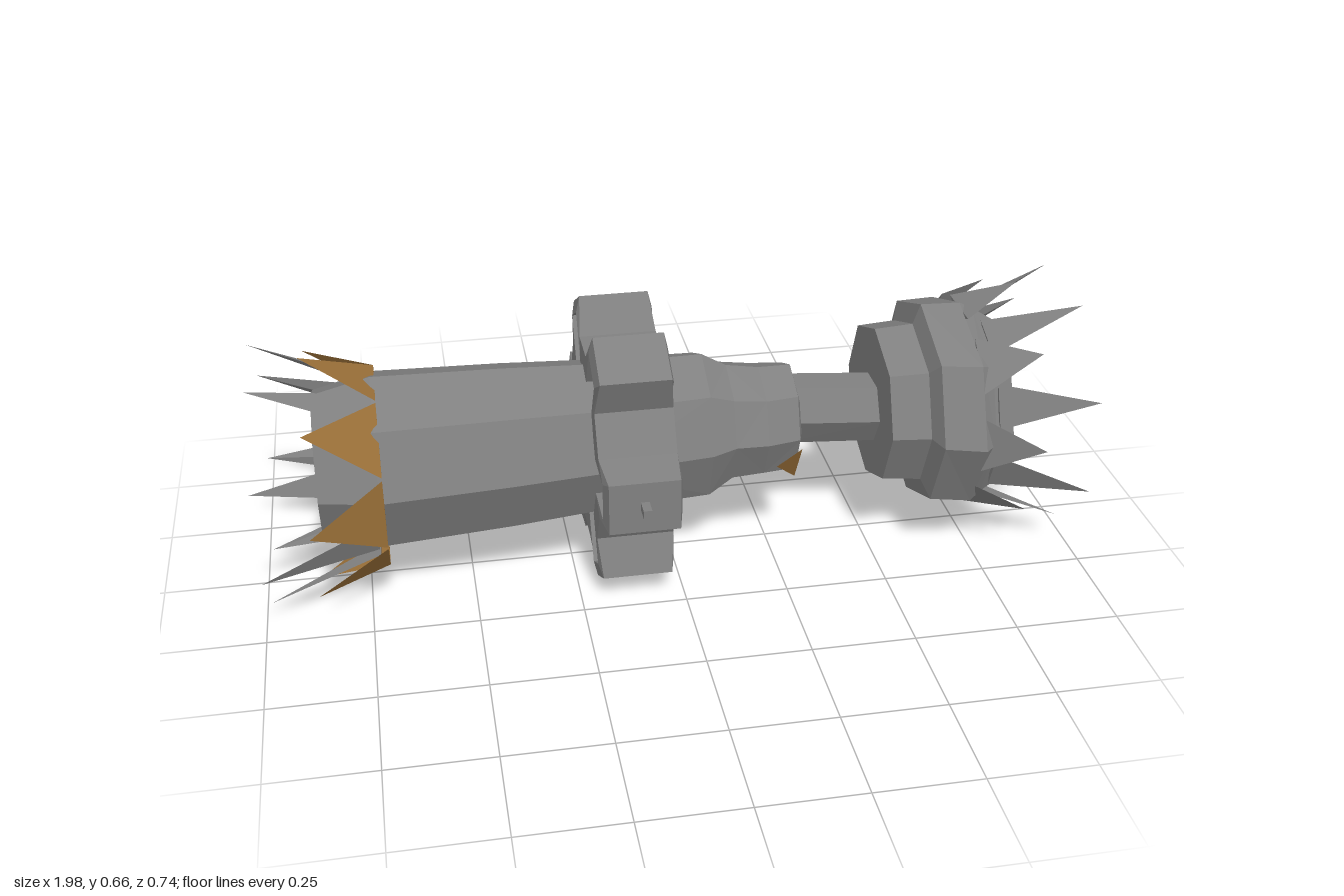
import * as THREE from 'three';

const steel = new THREE.MeshStandardMaterial({ color: 0x808080, flatShading: true, side: THREE.DoubleSide });
steel.name = 'steel grey';
const bronze = new THREE.MeshStandardMaterial({ color: 0x996f38, flatShading: true, side: THREE.DoubleSide });
bronze.name = 'bronze';

// Faceted tube along x; each station is [x, centreY, radiusY, radiusZ, centreZ]
function loft(name, stations, sides, turn = 0) {
  const point = ([x, cy, ry, rz = ry, cz = 0], j) => {
    const a = turn + (j / sides) * Math.PI * 2;
    return [x, cy + ry * Math.sin(a), cz + rz * Math.cos(a)];
  };
  const pos = [];
  for (let i = 0; i < stations.length - 1; i++) {
    for (let j = 0; j < sides; j++) {
      const a = point(stations[i], j), b = point(stations[i + 1], j);
      const c = point(stations[i + 1], j + 1), d = point(stations[i], j + 1);
      // alternate the diagonals for an irregular faceted look
      if ((i + j) % 2) pos.push(...a, ...b, ...c, ...a, ...c, ...d);
      else pos.push(...a, ...b, ...d, ...b, ...c, ...d);
    }
  }
  const geo = new THREE.BufferGeometry();
  geo.setAttribute('position', new THREE.Float32BufferAttribute(pos, 3));
  geo.computeVertexNormals();
  const mesh = new THREE.Mesh(geo, steel);
  mesh.name = name;
  return mesh;
}

// Thin three-sided spike leaning out from the x axis
function spikeGeometry(x0, r0, x1, r1, width, depth) {
  const l = [x0, width / 2, r0], r = [x0, -width / 2, r0];
  const inner = [x0, 0, r0 - depth], tip = [x1, 0, r1];
  const geo = new THREE.BufferGeometry();
  const flip = x1 < x0;
  const faces = [[l, r, tip], [r, inner, tip], [inner, l, tip], [l, inner, r]];
  const pos = faces.flatMap(([a, b, c]) => (flip ? [a, c, b] : [a, b, c]).flat());
  geo.setAttribute('position', new THREE.Float32BufferAttribute(pos, 3));
  geo.computeVertexNormals();
  return geo;
}

function crown(name, geo, material, cy, turn) {
  const group = new THREE.Group();
  group.name = name;
  group.position.y = cy;
  for (let i = 0; i < 8; i++) {
    const spike = new THREE.Mesh(geo, material);
    spike.name = name + 'Spike';
    spike.rotation.x = turn + (i * Math.PI) / 4;
    group.add(spike);
  }
  return group;
}

// Band with six raised loops, cut as one toothed outline
function loopBand() {
  const trace = (steps) => {
    const pts = [];
    for (let k = 0; k < 6; k++) {
      for (const [deg, r] of steps) {
        const a = ((deg + k * 60) * Math.PI) / 180;
        pts.push(new THREE.Vector2(r * Math.cos(a), r * Math.sin(a)));
      }
    }
    return pts;
  };
  const shape = new THREE.Shape(trace([[-10.8, 0.347], [10.8, 0.347], [18, 0.255], [42, 0.255]]));
  shape.holes.push(new THREE.Path(trace([[-9, 0.308], [9, 0.308], [14, 0.19], [46, 0.19]])));
  const geo = new THREE.ExtrudeGeometry(shape, { depth: 0.185, bevelEnabled: false });
  geo.translate(0, 0, -0.0925);
  geo.rotateY(Math.PI / 2);
  // narrow the band slightly towards the tops of the loops
  const p = geo.attributes.position;
  for (let i = 0; i < p.count; i++) {
    if (Math.hypot(p.getY(i), p.getZ(i)) > 0.32) p.setX(i, p.getX(i) * 0.9);
  }
  geo.computeVertexNormals();
  const mesh = new THREE.Mesh(geo, steel);
  mesh.name = 'loopBand';
  mesh.position.set(-0.115, 0.336, 0);
  return mesh;
}

function block(name, w, h, d, x, y, z) {
  const mesh = new THREE.Mesh(new THREE.BoxGeometry(w, h, d), steel);
  mesh.name = name;
  mesh.position.set(x, y, z);
  return mesh;
}

export function createModel() {
  const model = new THREE.Group();
  model.name = 'spikedCylinder';

  // Main barrel, starting from the shallow recessed end
  model.add(loft('barrel', [
    [-0.815, 0.33, 0], [-0.82, 0.33, 0.1], [-0.85, 0.33, 0.185],
    [-0.71, 0.333, 0.218], [-0.4, 0.34, 0.205], [-0.2, 0.345, 0.192], [0.08, 0.35, 0.19, 0.168],
    [0.14, 0.355, 0.15, 0.148], [0.22, 0.352, 0.14, 0.145], [0.3, 0.352, 0.14, 0.13],
    [0.31, 0.355, 0.1], [0.31, 0.355, 0],
  ], 8));

  // Neck joining the barrel to the head
  model.add(loft('neck', [
    [0.29, 0.355, 0.088, 0.082, -0.03], [0.52, 0.36, 0.085, 0.082, 0.01],
  ], 6));

  // Flared head closed by a shallow dish
  model.add(loft('head', [
    [0.51, 0.37, 0], [0.51, 0.37, 0.2], [0.605, 0.368, 0.208], [0.622, 0.367, 0.26],
    [0.72, 0.362, 0.262, 0.28], [0.755, 0.36, 0.245], [0.81, 0.357, 0.213],
    [0.785, 0.357, 0.12], [0.78, 0.357, 0],
  ], 8));

  // Band of loops, with a small pin in front and a thin tab behind
  model.add(loopBand());
  model.add(block('pin', 0.02, 0.02, 0.045, -0.115, 0.341, 0.357));
  model.add(block('tab', 0.02, 0.004, 0.04, -0.115, 0.341, -0.345));

  // Crowns of spikes at both ends
  const half = Math.PI / 8;
  model.add(crown('bronzeClaw', spikeGeometry(-0.7, 0.225, -0.87, 0.305, 0.18, 0.015), bronze, 0.31, 0));
  model.add(crown('rearSpike', spikeGeometry(-0.72, 0.21, -0.99, 0.312, 0.1, 0.02), steel, 0.312, half));
  model.add(crown('headLongSpike', spikeGeometry(0.765, 0.23, 0.985, 0.32, 0.11, 0.02), steel, 0.355, half));
  model.add(crown('headShortSpike', spikeGeometry(0.72, 0.25, 0.86, 0.305, 0.14, 0.03), steel, 0.362, 0));

  // Small bronze plates under the collar
  for (const angle of [0.52, 2.25]) {
    const plate = new THREE.Mesh(spikeGeometry(0.3, 0.138, 0.245, 0.144, 0.13, 0.008), bronze);
    plate.name = 'collarPlate';
    plate.position.y = 0.352;
    plate.rotation.x = angle;
    model.add(plate);
  }
  return model;
}
